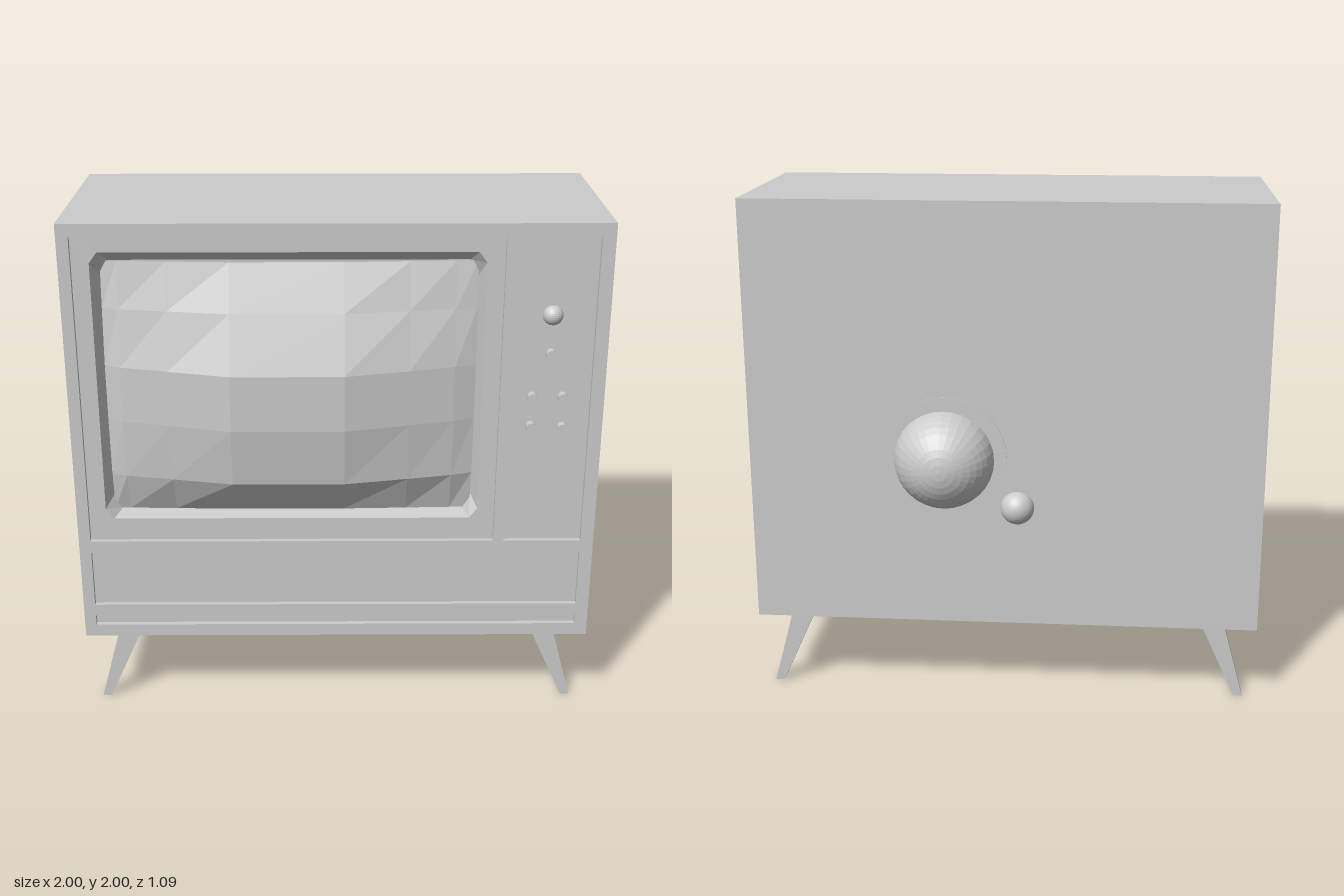
import * as THREE from 'three';

const grey = new THREE.MeshStandardMaterial({ color: 0xcccccc, flatShading: true });
grey.name = 'plain grey';

const polygon = (pts, Type = THREE.Shape) => new Type(pts.map(([x, y]) => new THREE.Vector2(x, y)));
const rect = (x0, x1, y0, y1) => [[x0, y0], [x1, y0], [x1, y1], [x0, y1]];
// Rectangle with cut corners, counter-clockwise
const cutRect = (x0, x1, y0, y1, cx, cy) => [
  [x0 + cx, y0], [x1 - cx, y0], [x1, y0 + cy], [x1, y1 - cy],
  [x1 - cx, y1], [x0 + cx, y1], [x0, y1 - cy], [x0, y0 + cy]];

// Flat slab with openings, between two depths
function slab(outline, holes, z0, z1) {
  const shape = polygon(outline);
  shape.holes = holes.map(h => polygon(h, THREE.Path));
  return new THREE.ExtrudeGeometry(shape, { depth: z1 - z0, bevelEnabled: false }).translate(0, 0, z0);
}

// Sloping strip joining two rings of equal length
function strip(outer, zo, inner, zi) {
  const pos = [];
  outer.forEach((a, i) => {
    const j = (i + 1) % outer.length;
    const A = [...a, zo], B = [...outer[j], zo], C = [...inner[j], zi], D = [...inner[i], zi];
    pos.push(...A, ...B, ...C, ...A, ...C, ...D);
  });
  const g = new THREE.BufferGeometry();
  g.setAttribute('position', new THREE.Float32BufferAttribute(pos, 3));
  g.computeVertexNormals();
  return g;
}

export function createModel() {
  const model = new THREE.Group();
  model.name = 'television';
  const add = (name, geometry, x = 0, y = 0, z = 0) => {
    const mesh = new THREE.Mesh(geometry, grey);
    mesh.name = name;
    mesh.position.set(x, y, z);
    model.add(mesh);
    return mesh;
  };

  // Cabinet, front panel with screen opening, and raised front frame
  const face = rect(-1, 1, 0.32, 2);
  const opening = cutRect(-0.89, 0.545, 0.83, 1.89, 0.03, 0.04);
  add('cabinet', new THREE.BoxGeometry(2, 1.68, 0.73), 0, 1.16, -0.005);
  add('frontPanel', slab(face, [opening], 0.36, 0.43));
  add('frontFrame', slab(face, [
    rect(-0.955, 0.61, 0.74, 1.95),
    rect(0.65, 0.95, 0.74, 1.95),
    rect(-0.955, 0.95, 0.46, 0.69),
    rect(-0.955, 0.95, 0.37, 0.412),
  ], 0.43, 0.45));

  // Sloping bezel around the screen
  add('bezel', strip(opening, 0.43, cutRect(-0.86, 0.52, 0.85, 1.845, 0.03, 0.06), 0.365));

  // Bulging faceted screen: bulge is the product of two profiles
  const cols = [[-0.86, 0.25], [-0.8, 0.42], [-0.62, 0.67], [-0.39, 1], [0.03, 1], [0.27, 0.67], [0.44, 0.42], [0.52, 0.25]];
  const rows = [[1.845, 0.2], [1.67, 0.58], [1.455, 1], [1.24, 1], [1.01, 0.8], [0.85, 0.12]];
  const screen = new THREE.PlaneGeometry(1, 1, cols.length - 1, rows.length - 1);
  rows.forEach(([y, v], r) => cols.forEach(([x, u], c) =>
    screen.attributes.position.setXYZ(r * cols.length + c, x, y, 0.365 + 0.18 * u * v)));
  screen.computeVertexNormals();
  add('screen', screen);

  // Control knobs
  add('mainKnob', new THREE.SphereGeometry(0.038, 24, 16), 0.793, 1.652, 0.427);
  const knob = new THREE.CylinderGeometry(0.019, 0.019, 0.04, 12).rotateX(Math.PI / 2);
  for (const [x, y] of [[0.793, 1.505], [0.733, 1.335], [0.847, 1.335], [0.733, 1.217], [0.852, 1.213]])
    add('smallKnob', knob, x, y, 0.44);

  // Splayed tapering legs
  for (const side of [-1, 1])
    for (const [name, z0, z1] of [['frontLeg', 0.355, 0.388], ['rearLeg', -0.307, -0.258]]) {
      const pts = [[0.775, 0.33], [0.87, 0.33], [0.96, 0], [0.925, 0]].map(([x, y]) => [x * side, y]);
      add(name, slab(pts, [], z0, z1));
    }

  // Domes and thin disc on the back
  const dome = r => new THREE.SphereGeometry(r, 32, 10, 0, Math.PI * 2, 0, Math.PI / 2).rotateX(-Math.PI / 2);
  add('backDisc', new THREE.CylinderGeometry(0.245, 0.245, 0.006, 32).rotateX(Math.PI / 2), 0.235, 1.005, -0.371);
  add('backDome', dome(0.197), 0.235, 1, -0.349);
  add('smallBackDome', dome(0.066), -0.05, 0.81, -0.368);

  return model;
}
